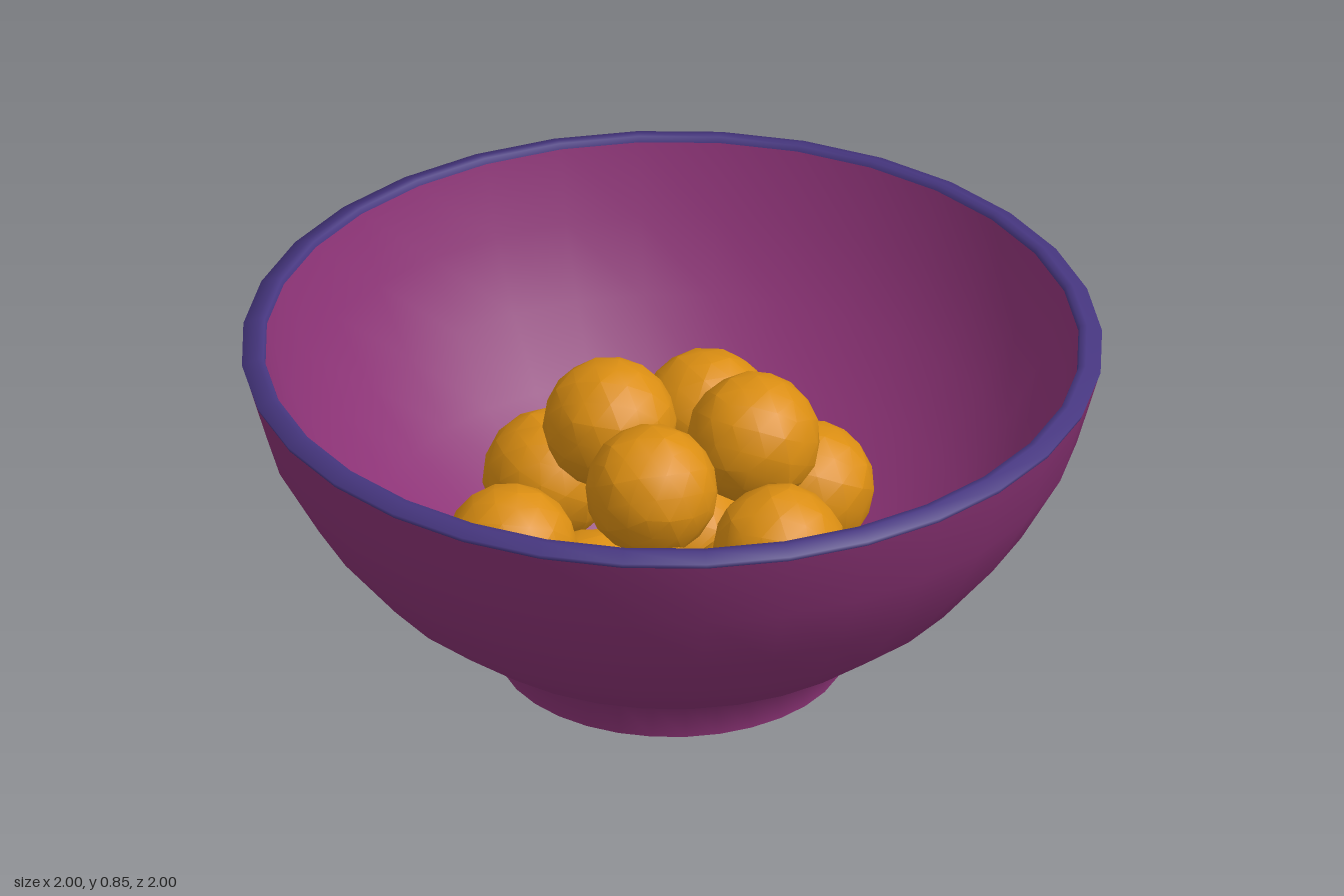
import * as THREE from 'three';
import { toCreasedNormals } from 'three/addons/utils/BufferGeometryUtils.js';

const SEGMENTS = 32;
const BALL_RADIUS = 0.155;

function lathe(name, profile, material) {
  const points = profile.map(([r, y]) => new THREE.Vector2(r, y));
  const mesh = new THREE.Mesh(new THREE.LatheGeometry(points, SEGMENTS), material);
  mesh.name = name;
  return mesh;
}

// Slightly uneven faceted fruit
function fruitGeometry() {
  const geometry = new THREE.IcosahedronGeometry(BALL_RADIUS, 2);
  const pos = geometry.attributes.position;
  const v = new THREE.Vector3();
  for (let i = 0; i < pos.count; i++) {
    v.fromBufferAttribute(pos, i);
    const wobble = Math.sin(v.x * 61 + 1) * Math.sin(v.y * 53 + 2) * Math.sin(v.z * 67);
    v.multiplyScalar(1 + 0.018 * wobble);
    pos.setXYZ(i, v.x, v.y, v.z);
  }
  return toCreasedNormals(geometry, 0.42);
}

export function createModel() {
  const model = new THREE.Group();
  model.name = 'fruitBowl';
  const bowlMaterial = new THREE.MeshStandardMaterial({ color: 0x8c3376, side: THREE.DoubleSide });
  const rimMaterial = new THREE.MeshStandardMaterial({ color: 0x46367f, side: THREE.DoubleSide });
  const fruitMaterial = new THREE.MeshStandardMaterial({ color: 0xdb8e12 });

  // Outside of the bowl, from the underside of the foot up to the rim
  model.add(lathe('bowlOutside', [
    [0, 0.005], [0.35, 0.01], [0.375, 0.013], [0.405, 0.03], [0.39, 0.1], [0.56, 0.195],
    [0.72, 0.32], [0.85, 0.48], [0.945, 0.65], [0.995, 0.825],
  ], bowlMaterial));

  // Inside of the bowl, from the rim down to the recessed floor
  model.add(lathe('bowlInside', [
    [0.945, 0.84], [0.895, 0.67], [0.805, 0.51], [0.685, 0.36],
    [0.53, 0.24], [0.34, 0.135], [0.35, 0.07], [0.3, 0.055], [0, 0.05],
  ], bowlMaterial));

  // Coloured lip
  model.add(lathe('rim', [
    [0.995, 0.825], [1, 0.838], [0.965, 0.853], [0.95, 0.853], [0.945, 0.84],
  ], rimMaterial));

  // Heap of fruit: bottom layer, ring against the wall, top layer
  const heap = new THREE.Group();
  heap.name = 'fruitHeap';
  const geometry = fruitGeometry();
  const centres = [
    [-0.2, 0.22, -0.02], [0.12, 0.22, -0.17], [0.13, 0.22, 0.15],
    [-0.16, 0.38, -0.31], [0.23, 0.46, -0.27], [-0.42, 0.41, 0],
    [0.35, 0.38, 0.01], [-0.18, 0.34, 0.31], [0.11, 0.44, 0.33],
    [-0.08, 0.575, -0.16], [-0.13, 0.57, 0.15], [0.19, 0.57, 0.045],
  ];
  centres.forEach(([x, y, z], i) => {
    const fruit = new THREE.Mesh(geometry, fruitMaterial);
    fruit.name = `fruit${i + 1}`;
    fruit.position.set(x, y, z);
    fruit.rotation.set(i * 1.3, i * 2.1, i * 0.7);
    heap.add(fruit);
  });
  model.add(heap);
  return model;
}
